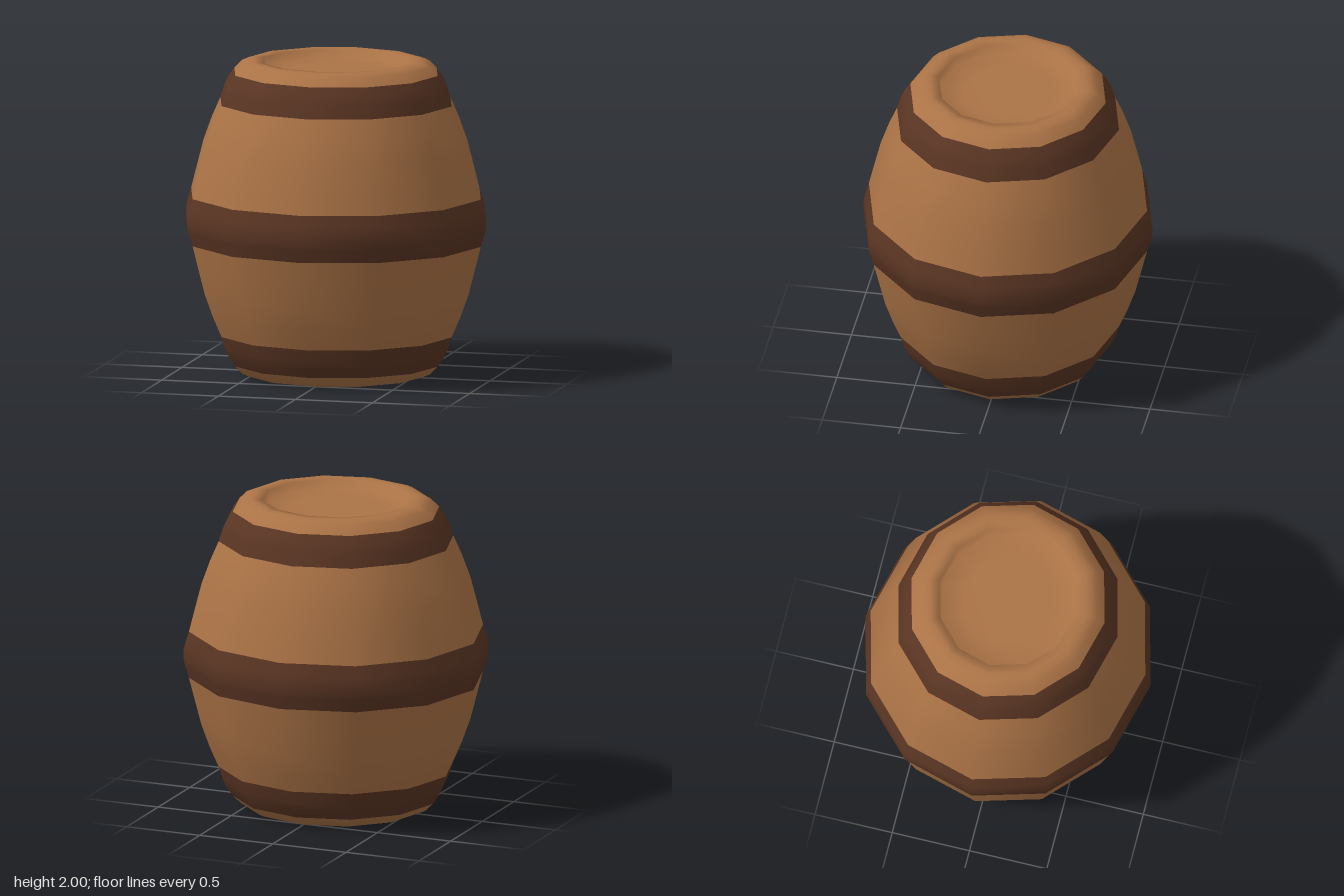
import * as THREE from 'three';

const SIDES = 12;
const DEPTH = 0.945; // the barrel is slightly narrower front to back

const wood = new THREE.MeshStandardMaterial({ color: 0xab7346 });
wood.name = 'wood';
const darkBand = new THREE.MeshStandardMaterial({ color: 0x5a3523 });
darkBand.name = 'dark band';

// Smooth twelve-sided ring or cap from [radius, height] pairs, listed bottom to top
function turned(name, profile, material) {
  const points = profile.map(([r, y]) => new THREE.Vector2(r, y));
  const geometry = new THREE.LatheGeometry(points, SIDES);
  geometry.scale(1, 1, DEPTH);
  const mesh = new THREE.Mesh(geometry, material);
  mesh.name = name;
  return mesh;
}

// The same profile flipped about mid height
const flip = (profile) => profile.map(([r, y]) => [r, 2 - y]).reverse();

export function createModel() {
  const barrel = new THREE.Group();
  barrel.name = 'barrel';

  // Bulging staves between the hoops
  const staves = [[0.94, 1.15], [0.912, 1.26], [0.86, 1.46], [0.805, 1.61], [0.75, 1.735]];
  // Hoop near each end
  const endHoop = [[0.75, 1.735], [0.725, 1.815], [0.7, 1.868], [0.66, 1.925]];
  // Rounded rim and sunken lid
  const lid = [
    [0.66, 1.925], [0.61, 1.975], [0.57, 1.993], [0.53, 2], [0.47, 1.995],
    [0.455, 1.94], [0.3, 1.935], [0, 1.935],
  ];

  for (const [prefix, shape] of [['upper', (p) => p], ['lower', flip]]) {
    barrel.add(
      turned(prefix + 'Staves', shape(staves), wood),
      turned(prefix + 'Hoop', shape(endHoop), darkBand),
      turned(prefix + 'Lid', shape(lid), wood),
    );
  }

  // Raised hoop around the widest part
  const half = [[0.975, 1.03], [0.965, 1.07], [0.94, 1.15]];
  barrel.add(turned('middleHoop', [...flip(half), ...half], darkBand));

  return barrel;
}
